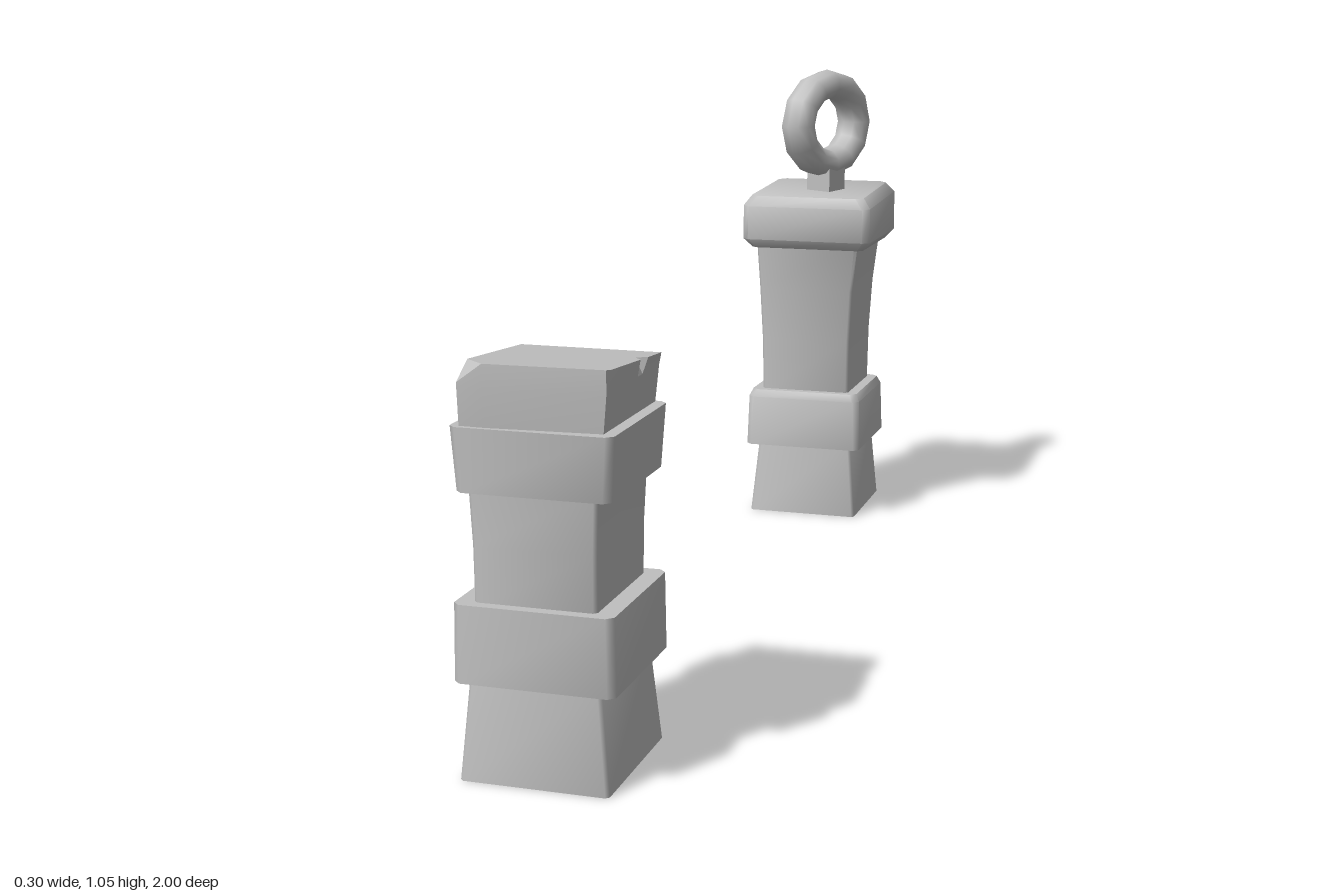
import * as THREE from 'three';
import { toCreasedNormals } from 'three/addons/utils/BufferGeometryUtils.js';

const stone = new THREE.MeshStandardMaterial({ color: 0xc0c0c0 });
stone.name = 'grey stone';

// Rectangle with cut corners: x0..x1, z0..z1, corner cut c
function outline([y, x0, x1, z0, z1, c]) {
  return [
    [x0 + c, y, z1], [x1 - c, y, z1], [x1, y, z1 - c], [x1, y, z0 + c],
    [x1 - c, y, z0], [x0 + c, y, z0], [x0, y, z0 + c], [x0, y, z1 - c],
  ];
}

// Skin a stack of equal-length rings; chip = top corner cut off as its own facet
function skin(rings, crease, chip = -1) {
  const n = rings[0].length, index = [];
  for (let r = 0; r < rings.length - 1; r++) {
    for (let i = 0; i < n; i++) {
      const a = r * n + i, b = r * n + (i + 1) % n;
      index.push(a, b, b + n, a, b + n, a + n);
    }
  }
  const cap = (ring, base, up, omit) => {
    const ids = ring.map((_, i) => i).filter((i) => i !== omit);
    const flat = ids.map((i) => new THREE.Vector2(ring[i][0], -ring[i][2]));
    for (const [a, b, c] of THREE.ShapeUtils.triangulateShape(flat, [])) {
      const t = [ids[a] + base, ids[b] + base, ids[c] + base];
      index.push(...(up ? t : t.reverse()));
    }
  };
  cap(rings[0], 0, false, -1);
  const top = (rings.length - 1) * n;
  cap(rings[rings.length - 1], top, true, chip);
  if (chip >= 0) index.push(top + (chip + n - 1) % n, top + chip, top + (chip + 1) % n);
  const g = new THREE.BufferGeometry();
  g.setAttribute('position', new THREE.Float32BufferAttribute(rings.flat(2), 3));
  g.setIndex(index);
  return toCreasedNormals(g, crease);
}

function add(group, name, geometry) {
  const mesh = new THREE.Mesh(geometry, stone);
  mesh.name = name;
  group.add(mesh);
  return mesh;
}
const block = (group, name, levels) => add(group, name, skin(levels.map(outline), 0.9));

function brokenPost() {
  const g = new THREE.Group();
  g.name = 'brokenPost';
  block(g, 'foot', [
    [0, -0.136, 0.12, 0.726, 1.0, 0.006], [0.17, -0.12, 0.105, 0.742, 0.99, 0.006],
  ]);
  block(g, 'lowerBand', [
    [0.165, -0.145, 0.131, 0.726, 1.0, 0.012], [0.297, -0.143, 0.129, 0.726, 1.0, 0.012],
  ]);
  block(g, 'shaft', [
    [0.29, -0.1125, 0.096, 0.747, 0.98, 0.006],
    [0.39, -0.113, 0.097, 0.745, 0.982, 0.006],
    [0.49, -0.117, 0.101, 0.739, 0.986, 0.006],
  ]);
  block(g, 'upperBand', [
    [0.48, -0.136, 0.125, 0.732, 0.995, 0.012], [0.587, -0.143, 0.132, 0.726, 1.0, 0.012],
  ]);

  // Sloping stub with a chipped corner and a small nick in its left edge
  const topY = (z) => 0.67 + (z - 0.73) * 0.075;
  const top = [
    [-0.127, 0.995], [-0.083, 0.997], [0.118, 0.985], [0.123, 0.975], [0.123, 0.838],
    [0.106, 0.815], [0.123, 0.8], [0.122, 0.73], [-0.126, 0.73], [-0.127, 0.95],
  ].map(([x, z], i) => [x, i === 0 ? 0.658 : topY(z), z]);
  const bottom = top.map(([x, , z]) => [x > 0.1 ? 0.11 : x, 0.58, z > 0.9 ? z - 0.006 : z]);
  const middle = top.map(([x, , z]) => [x > 0.1 ? 0.118 : x, 0.65, z]);
  add(g, 'stub', skin([bottom, middle, top], 0.5, 0));

  // Peg behind the lower band, drawn from above and hung from its top face
  const peg = new THREE.Shape([
    [-0.058, 0.75], [-0.058, 0.69], [-0.034, 0.667],
    [0.022, 0.667], [0.046, 0.69], [0.046, 0.75],
  ].map(([x, z]) => new THREE.Vector2(x, z)));
  const pegGeometry = new THREE.ExtrudeGeometry(peg, { depth: 0.09, bevelEnabled: false });
  pegGeometry.rotateX(Math.PI / 2).translate(0, 0.276, 0);
  add(g, 'peg', toCreasedNormals(pegGeometry, 0.9));
  return g;
}

function ringPost() {
  const g = new THREE.Group();
  g.name = 'ringPost';
  block(g, 'foot', [
    [0, -0.135, 0.119, -0.979, -0.717, 0.006], [0.17, -0.119, 0.104, -0.968, -0.733, 0.006],
  ]);
  block(g, 'band', [
    [0.165, -0.144, 0.13, -0.981, -0.706, 0.012],
    [0.28, -0.141, 0.127, -0.977, -0.711, 0.014],
    [0.297, -0.133, 0.119, -0.969, -0.719, 0.014],
  ]);
  block(g, 'shaft', [
    [0.29, -0.111, 0.096, -0.953, -0.738, 0.006],
    [0.42, -0.113, 0.098, -0.956, -0.735, 0.006],
    [0.54, -0.118, 0.105, -0.961, -0.729, 0.006],
    [0.65, -0.124, 0.118, -0.968, -0.722, 0.006],
  ]);

  // Rounded cap whose top rises toward the back
  const levels = [
    [0.64, -0.134, 0.132, -0.98, -0.71, 0.012],
    [0.66, -0.153, 0.15, -0.997, -0.697, 0.014],
    [0.745, -0.153, 0.15, -0.999, -0.697, 0.016],
    [0.768, -0.136, 0.132, -0.982, -0.71, 0.016],
  ].map(outline);
  for (const ring of levels.slice(2)) for (const p of ring) p[1] -= (p[2] + 0.845) * 0.05;
  add(g, 'cap', skin(levels, 0.9));

  // Turned ring on a short stem
  const eye = new THREE.Group();
  eye.name = 'eye';
  eye.position.set(0.014, 0, -0.838);
  eye.rotation.y = 1.156;
  const ring = add(eye, 'ring', new THREE.TorusGeometry(0.096, 0.035, 10, 12));
  ring.position.y = 0.923;
  ring.scale.set(1.12, 0.97, 1.15);
  add(eye, 'stem', new THREE.BoxGeometry(0.06, 0.07, 0.066)).position.y = 0.785;
  g.add(eye);
  return g;
}

export function createModel() {
  const model = new THREE.Group();
  model.name = 'stonePosts';
  model.add(brokenPost(), ringPost());
  return model;
}
